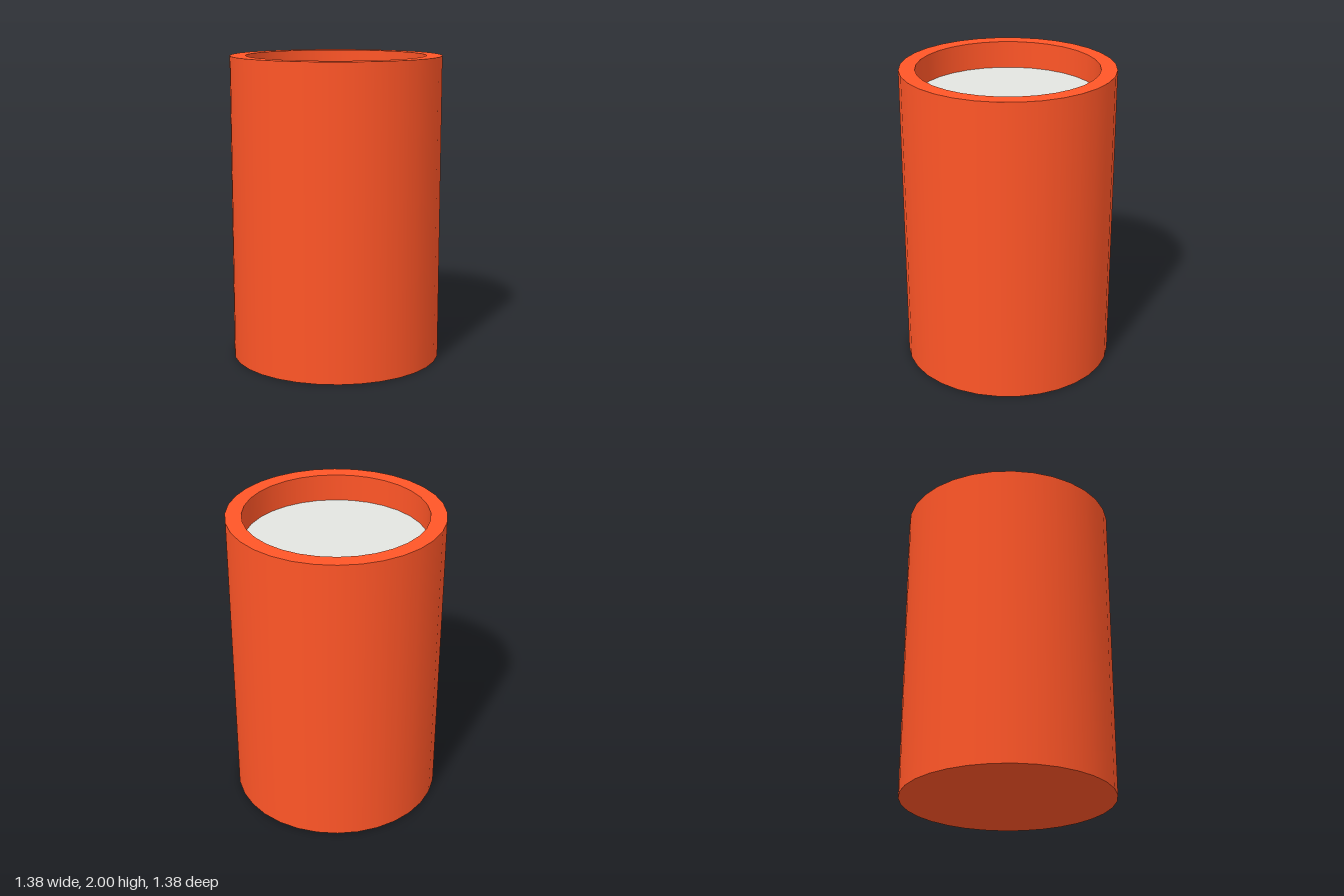
import * as THREE from 'three';
import { mergeGeometries } from 'three/addons/utils/BufferGeometryUtils.js';

const SIDES = 32;

// Turns each profile segment separately: smooth around, sharp between segments
function turned(profile) {
  const parts = [];
  for (let i = 0; i < profile.length - 1; i++) {
    const ends = [profile[i], profile[i + 1]].map(([r, y]) => new THREE.Vector2(r, y));
    parts.push(new THREE.LatheGeometry(ends, SIDES));
  }
  return mergeGeometries(parts);
}

function addPart(group, name, geometry, color) {
  const mesh = new THREE.Mesh(geometry, new THREE.MeshStandardMaterial({ color }));
  mesh.name = name;
  group.add(mesh);
  return mesh;
}

export function createModel() {
  const group = new THREE.Group();
  group.name = 'cup';

  const outer = 0.69, inner = 0.587, height = 2, fillTop = 1.82, floor = 0.1;

  // Vessel: base, outer wall, flat rim, inner wall and inside floor
  addPart(group, 'vessel', turned([
    [0, 0], [outer, 0], [outer, height], [inner, height], [inner, floor], [0, floor],
  ]), 0xff5527);

  // Pale surface of the contents, just below the rim
  const contents = addPart(group, 'contents', new THREE.CircleGeometry(inner, SIDES), 0xe2e4e0);
  contents.rotation.x = -Math.PI / 2;
  contents.position.y = fillTop;

  return group;
}
